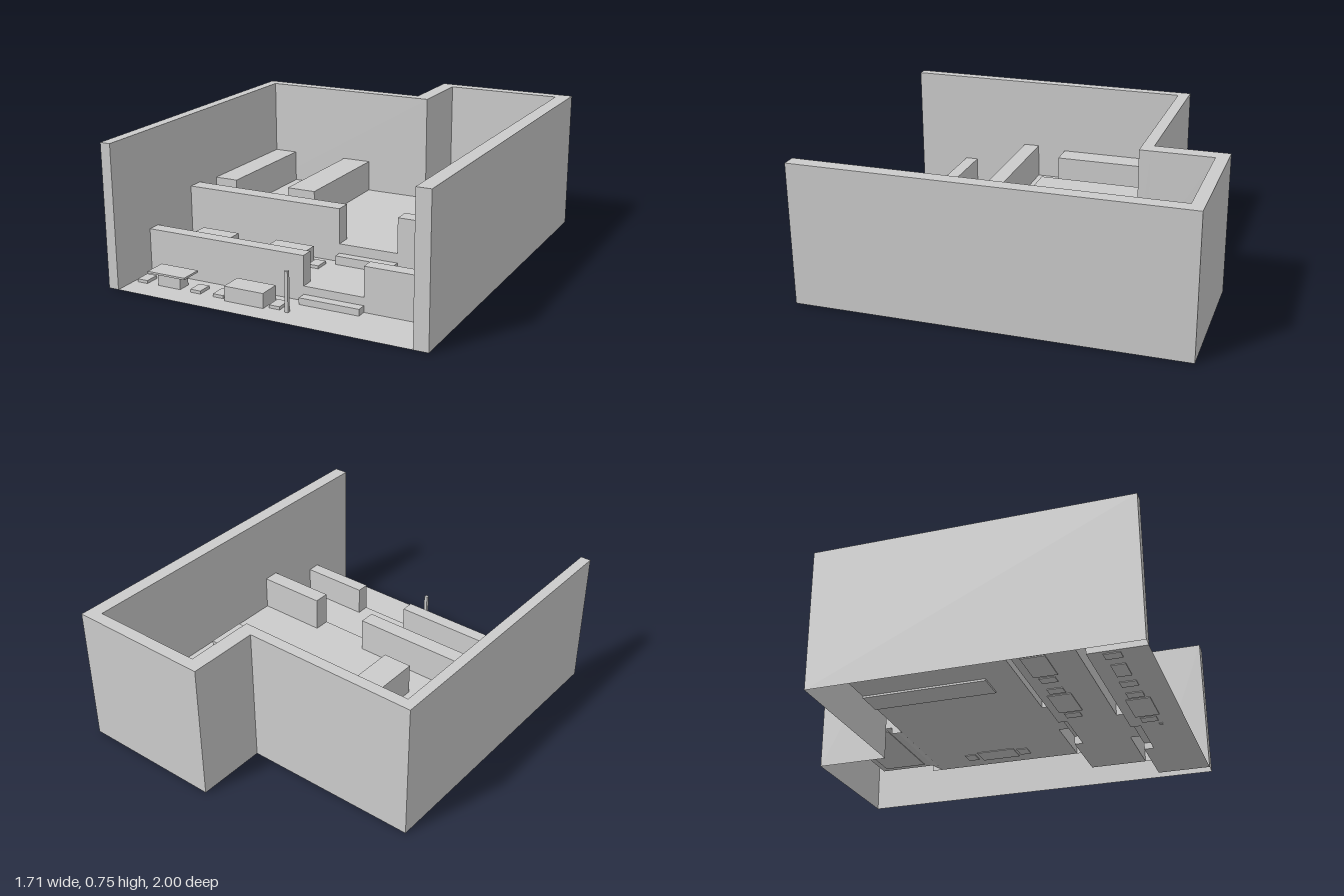
import * as THREE from 'three';

const mat = new THREE.MeshStandardMaterial({ color: 0xcccccc, side: THREE.DoubleSide, flatShading: true });

const H = 0.745;                                  // wall height
const F1 = 0.004, F2 = 0.08, F3 = 0.175, F4 = 0.21; // floor levels, front to back
const GAP = [0.085, 0.405];                       // stair opening in x
const IN = [-0.8, 0.78];                          // inner wall faces in x

// Mesh from a list of quads, each with four [x, y, z] corners
function quadMesh(name, quads) {
  const pos = [];
  for (const [a, b, c, d] of quads) pos.push(...a, ...b, ...c, ...a, ...c, ...d);
  const g = new THREE.BufferGeometry();
  g.setAttribute('position', new THREE.Float32BufferAttribute(pos, 3));
  g.computeVertexNormals();
  const m = new THREE.Mesh(g, mat);
  m.name = name;
  return m;
}

// Upright panels along [x, z, bottom y] points, up to the wall top
function panels(pts) {
  return pts.slice(0, -1).map(([x, z, y], i) => {
    const [x2, z2] = pts[i + 1];
    return [[x, y, z], [x2, y, z2], [x2, H, z2], [x, H, z]];
  });
}

// Stepped floor: a [z, y] profile swept from x0 to x1
function sweep(profile, x0, x1) {
  return profile.slice(0, -1).map(([z, y], i) => {
    const [z2, y2] = profile[i + 1];
    return [[x0, y, z], [x1, y, z], [x1, y2, z2], [x0, y2, z2]];
  });
}

function box(name, x0, x1, y0, y1, z0, z1) {
  const m = new THREE.Mesh(new THREE.BoxGeometry(x1 - x0, y1 - y0, z1 - z0), mat);
  m.position.set((x0 + x1) / 2, (y0 + y1) / 2, (z0 + z1) / 2);
  m.name = name;
  return m;
}

function createWalls() {
  const g = new THREE.Group();
  g.name = 'walls';
  const outer = [[0.855, 1], [0.855, -1], [0.085, -1], [0.085, -0.62], [-0.855, -0.62], [-0.855, 1]];
  const inner = [
    [-0.8, 1, F1], [-0.8, 0.72, F2], [-0.8, 0.345, F3], [-0.8, -0.56, F3],
    [0.165, -0.56, F3], [0.165, -0.62, F4], [0.165, -0.935, F4], [0.78, -0.935, F4],
    [0.78, -0.62, F3], [0.78, -0.56, F3], [0.78, 0.345, F2], [0.78, 0.72, F1], [0.78, 1, F1],
  ];
  g.add(quadMesh('outerWallFaces', panels(outer.map(([x, z]) => [x, z, F1]))));
  g.add(quadMesh('innerWallFaces', panels(inner)));
  g.add(quadMesh('wallEnds', [
    ...panels([[-0.855, 1, F1], [-0.8, 1, F1]]),
    ...panels([[0.78, 1, F1], [0.855, 1, F1]]),
  ]));
  // Wall tops as one flat band
  const band = new THREE.Shape([...outer, ...inner].map(([x, z]) => new THREE.Vector2(x, -z)));
  const top = new THREE.Mesh(new THREE.ShapeGeometry(band).rotateX(-Math.PI / 2), mat);
  top.position.y = H;
  top.name = 'wallTops';
  g.add(top);
  return g;
}

function createFloors() {
  const g = new THREE.Group();
  g.name = 'floors';
  // Terraces with a parapet at each edge
  const side = [
    [1, F1], [0.72, F1], [0.72, 0.235], [0.65, 0.235], [0.65, F2],
    [0.345, F2], [0.345, 0.36], [0.26, 0.36], [0.26, F3], [-0.56, F3],
  ];
  // Stair opening between the parapets
  const middle = [
    [1, F1], [0.77, F1], [0.77, 0.038], [0.72, 0.038], [0.72, F2],
    [0.39, F2], [0.39, 0.125], [0.345, 0.125], [0.345, F3], [-0.56, F3],
  ];
  g.add(quadMesh('leftTerraces', sweep(side, GAP[1], IN[1])));
  g.add(quadMesh('rightTerraces', sweep(side, IN[0], GAP[0])));
  g.add(quadMesh('stairs', sweep(middle, ...GAP)));
  // Side faces of parapets and steps: z0, z1, y0, y1
  const ends = [[0.65, 0.72, F2, 0.235], [0.26, 0.345, F3, 0.36], [0.72, 0.77, F1, 0.038], [0.345, 0.39, F2, 0.125]];
  g.add(quadMesh('parapetAndStepEnds', GAP.flatMap(x => ends.map(([z0, z1, y0, y1]) =>
    [[x, y0, z1], [x, y0, z0], [x, y1, z0], [x, y1, z1]]))));
  // Raised alcove with a sloping front
  g.add(quadMesh('alcoveFloor', sweep([[-0.56, F3], [-0.62, F4], [-0.935, F4]], 0.165, 0.78)));
  return g;
}

function createFurniture() {
  const g = new THREE.Group();
  g.name = 'furniture';
  const sink = 0.004;
  // Two rows of tables with a low seat at each end
  for (const [floor, z] of [[F1, 0.83], [F2, 0.445]]) {
    const y = floor - sink;
    for (const x of [-0.593, -0.148]) {
      if (floor === F1 && x < -0.5) {
        g.add(box('pedestalTableTop', x - 0.108, x + 0.108, y + 0.07, y + 0.08, z - 0.06, z + 0.06));
        g.add(box('pedestalTableBase', x - 0.065, x + 0.065, y, y + 0.07, z - 0.035, z + 0.035));
      } else {
        g.add(box('table', x - 0.108, x + 0.108, y, y + 0.08, z - 0.06, z + 0.06));
      }
      for (const s of [-1, 1]) {
        const c = x + s * 0.157;
        g.add(box('seat', c - 0.029, c + 0.029, y, y + 0.02, z - 0.04, z + 0.04));
      }
    }
  }
  // Table by the left wall
  const y3 = F3 - sink;
  g.add(box('sideTable', 0.585, 0.705, y3, y3 + 0.08, -0.275, -0.06));
  for (const z of [-0.325, -0.015]) g.add(box('seat', 0.605, 0.685, y3, y3 + 0.02, z - 0.03, z + 0.03));
  // Long counters against the back wall
  for (const [x0, x1] of [[-0.8, -0.67], [-0.35, -0.19]]) {
    g.add(box('counter', x0, x1, F3 - 0.01, 0.345, -0.56, 0.1));
  }
  // Low platform in the alcove and the post at the entrance
  g.add(box('alcovePlatform', 0.2, 0.74, F4 - sink, 0.255, -0.9, -0.66));
  g.add(box('entrancePost', 0.072, 0.09, 0, 0.21, 0.865, 0.883));
  return g;
}

export function createModel() {
  const model = new THREE.Group();
  model.name = 'room';
  model.add(createWalls(), createFloors(), createFurniture());
  return model;
}
